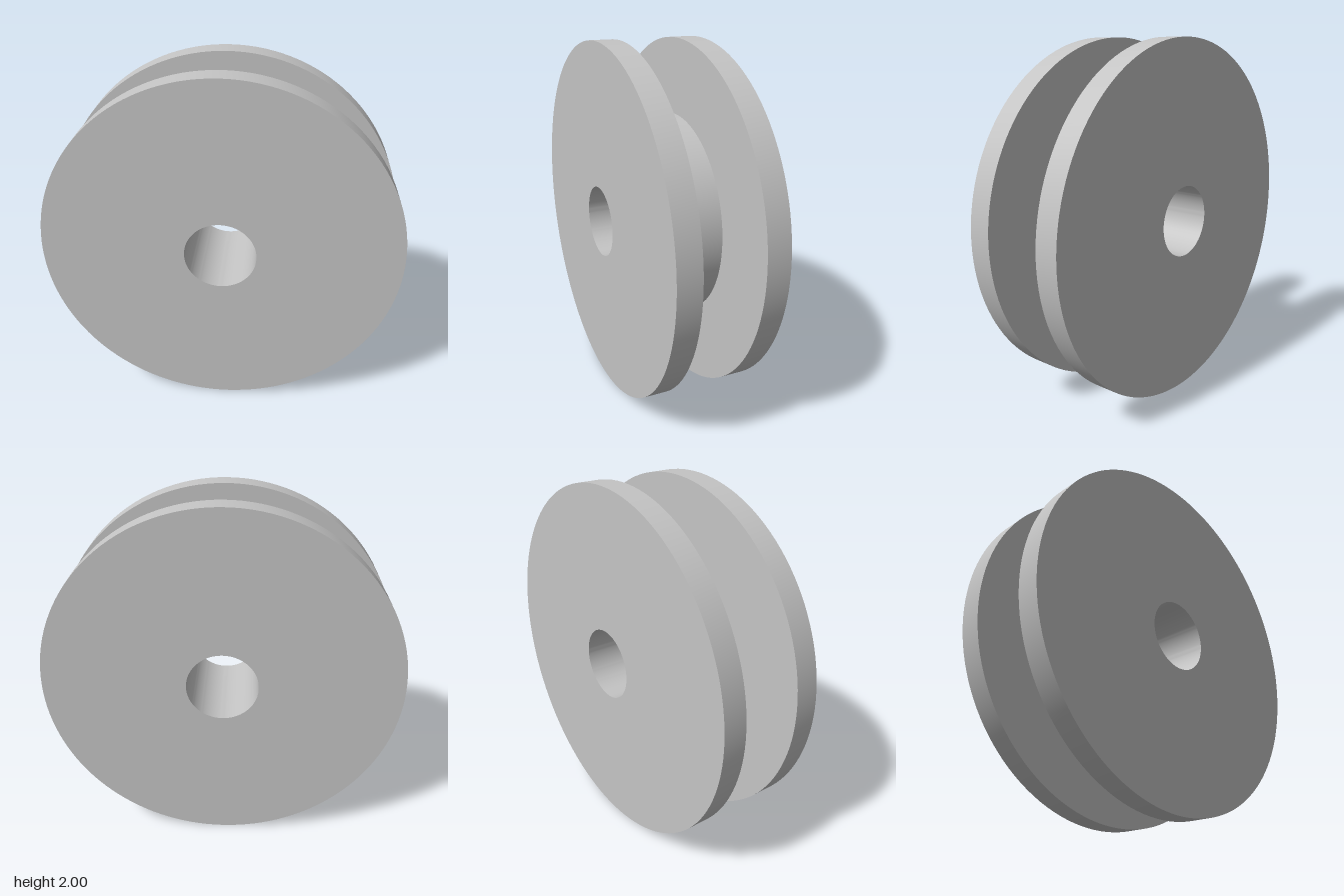
import * as THREE from 'three';
import { toCreasedNormals } from 'three/addons/utils/BufferGeometryUtils.js';

const RIM = 1, HUB = 0.58, BORE = 0.2;   // radii
const INNER = 0.167, OUTER = 0.3;        // flange faces along the axle
const SEGMENTS = 128;

// Turn a [radius, z] profile around the z axis, keeping its corners sharp
function turned(profile) {
  const points = profile.map(([r, z]) => new THREE.Vector2(r, z));
  const geometry = new THREE.LatheGeometry(points, SEGMENTS);
  geometry.rotateX(Math.PI / 2);
  return toCreasedNormals(geometry, 0.6);
}

export function createModel() {
  const grey = new THREE.MeshStandardMaterial({ color: 0xc4c4c4 });
  grey.name = 'light grey';

  const spool = new THREE.Group();
  spool.name = 'spool';
  const add = (name, geometry) => {
    const mesh = new THREE.Mesh(geometry, grey);
    mesh.name = name;
    spool.add(mesh);
    return mesh;
  };

  // Two mirrored flanges: inner face, rim, outer face down to the bore
  const flange = turned([[HUB, INNER], [RIM, INNER], [RIM, OUTER], [BORE, OUTER]]);
  add('frontFlange', flange);
  add('backFlange', flange).rotation.y = Math.PI;

  // Hub between the flanges, and the through hole for the axle
  add('hub', turned([[HUB, -INNER], [HUB, INNER]]));
  add('bore', turned([[BORE, OUTER], [BORE, -OUTER]]));

  // Stand the wheel on the ground
  spool.children.forEach((part) => { part.position.y = RIM; });
  return spool;
}
